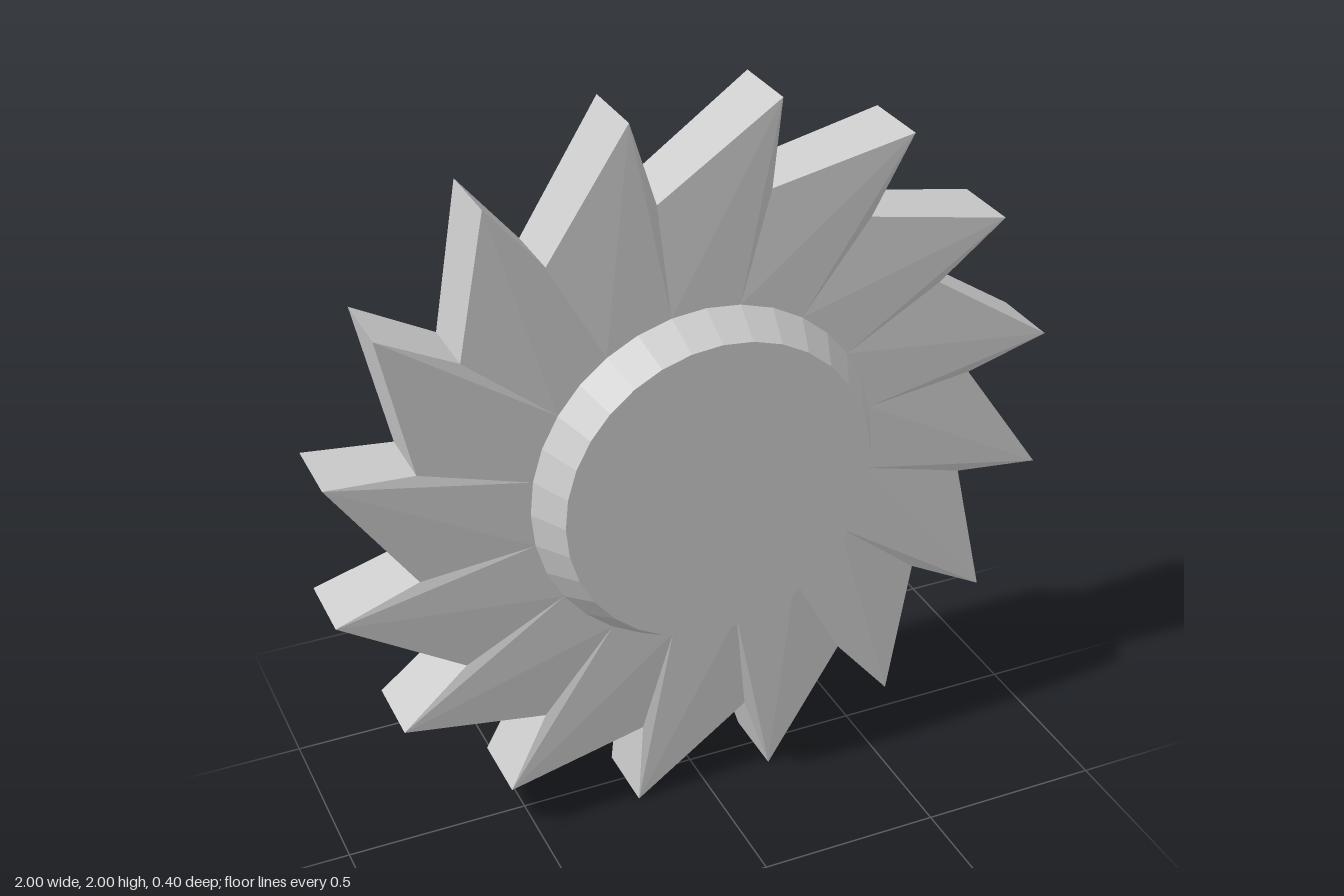
import * as THREE from 'three';

const TEETH = 16;
const STEP = (Math.PI * 2) / TEETH;
const TIP_R = 1 / Math.cos(STEP / 2);
const VALLEY_R = 0.785;
const HUB_R = 0.48;
const LAG = THREE.MathUtils.degToRad(2); // each valley sits just behind its tip

const polar = (r, a, z) => [r * Math.cos(a), r * Math.sin(a), z];

// Swirled saw-tooth ring: ridges run from the tips, grooves from the valleys
function toothedRingGeometry() {
  const outer = [], inner = [];
  for (let i = 0; i < TEETH; i++) {
    const a = (i + 0.5) * STEP;
    outer.push({ r: VALLEY_R, a: a - LAG, z: 0.09 }, { r: TIP_R, a, z: 0.1 });
    inner.push({ r: HUB_R, a, z: 0.1 }, { r: HUB_R, a: a + STEP / 2, z: 0.1 });
  }
  const pos = [];
  const tri = (...pts) => pts.forEach((p) => pos.push(...p));
  const at = (p, side) => polar(p.r, p.a, p.z * side);
  const n = outer.length;
  for (let i = 0; i < n; i++) {
    const j = (i + 1) % n;
    const [oa, ob, ia, ib] = [outer[i], outer[j], inner[i], inner[j]];
    // split each facet along the line that starts at the tip
    const halves = i % 2
      ? [[oa, ob, ib], [oa, ib, ia]]
      : [[oa, ob, ia], [ob, ib, ia]];
    for (const [p, q, r] of halves) {
      tri(at(p, 1), at(q, 1), at(r, 1));
      tri(at(p, -1), at(r, -1), at(q, -1));
    }
    // rim wall
    tri(at(oa, 1), at(oa, -1), at(ob, -1));
    tri(at(oa, 1), at(ob, -1), at(ob, 1));
  }
  const geo = new THREE.BufferGeometry();
  geo.setAttribute('position', new THREE.Float32BufferAttribute(pos, 3));
  geo.computeVertexNormals();
  return geo;
}

export function createModel() {
  const group = new THREE.Group();
  group.name = 'toothedWheel';
  const material = new THREE.MeshStandardMaterial({ color: 0xcccccc, flatShading: true });

  const ring = new THREE.Mesh(toothedRingGeometry(), material);
  ring.name = 'toothedRing';

  // Bevelled hub, standing proud of both faces
  const profile = [[0, -0.2], [0.425, -0.2], [HUB_R, -0.1], [HUB_R, 0.1], [0.425, 0.2], [0, 0.2]]
    .map(([r, y]) => new THREE.Vector2(r, y));
  const hub = new THREE.Mesh(new THREE.LatheGeometry(profile, TEETH * 2), material);
  hub.name = 'hub';
  hub.rotation.x = Math.PI / 2;

  group.add(ring, hub);
  group.children.forEach((part) => { part.position.y = 1; });
  return group;
}
